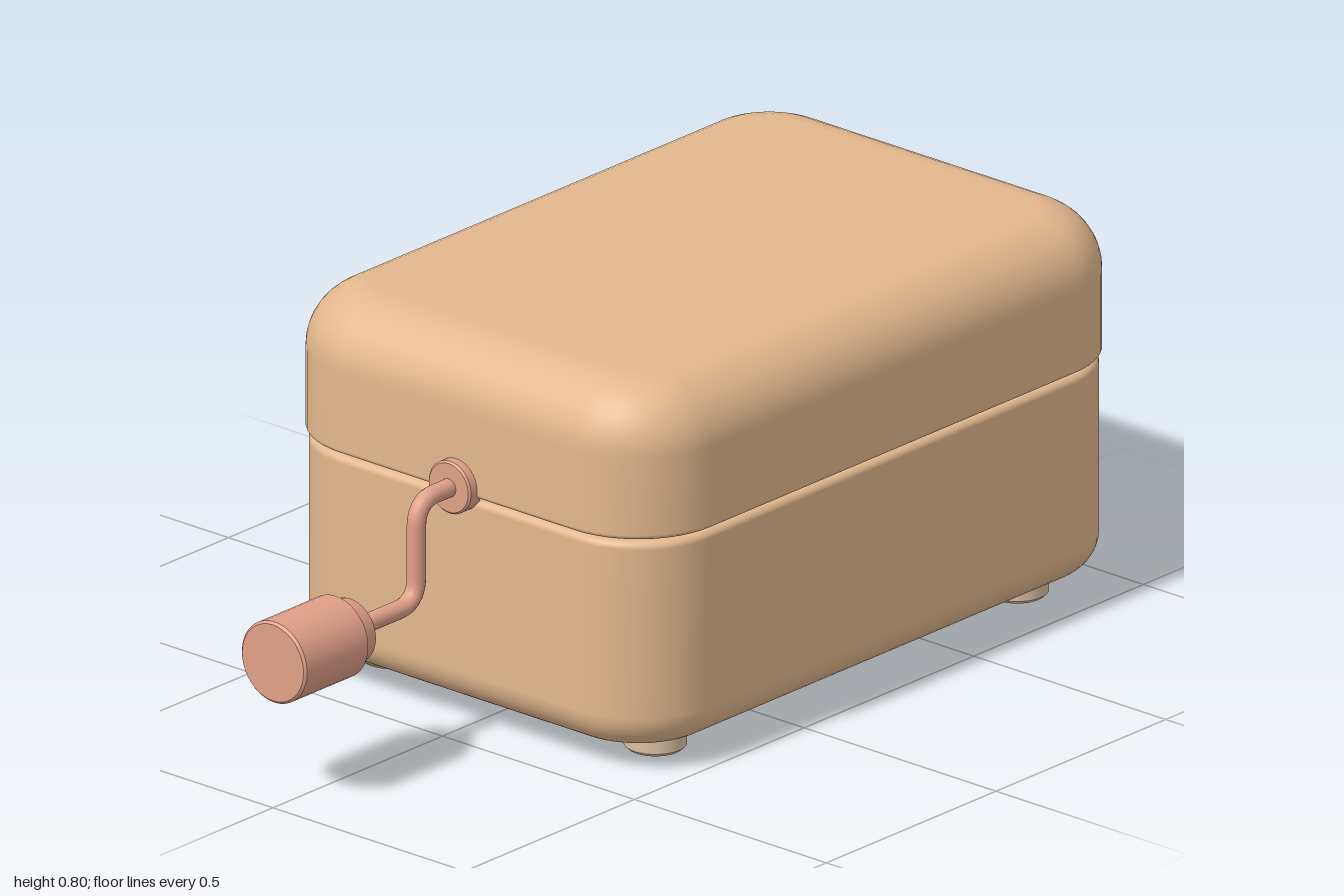
import * as THREE from 'three';

const mat = (name, color) => {
  const m = new THREE.MeshStandardMaterial({ color });
  m.name = name;
  return m;
};

// Solid with rounded-rectangle plan and separately rounded bottom and top edges
function softBox(hx, hz, y0, y1, corner, rBottom, rTop) {
  const profile = []; // [inset, y] from bottom to top
  const steps = 10;
  for (let i = 0; i <= steps; i++) {
    const a = (i / steps) * Math.PI / 2;
    profile.push([rBottom * (1 - Math.sin(a)), y0 + rBottom * (1 - Math.cos(a))]);
  }
  for (let i = 0; i <= steps; i++) {
    const a = (i / steps) * Math.PI / 2;
    profile.push([rTop * (1 - Math.cos(a)), y1 - rTop * (1 - Math.sin(a))]);
  }
  const seg = 12, n = 4 * (seg + 1), pos = [], idx = [];
  const signs = [[1, 1], [-1, 1], [-1, -1], [1, -1]];
  for (const [inset, y] of profile) {
    for (let q = 0; q < 4; q++) {
      for (let k = 0; k <= seg; k++) {
        const a = (q + k / seg) * Math.PI / 2, r = corner - inset;
        pos.push(signs[q][0] * (hx - corner) + r * Math.cos(a), y,
          signs[q][1] * (hz - corner) + r * Math.sin(a));
      }
    }
  }
  const rows = profile.length, bottom = rows * n, top = bottom + 1;
  pos.push(0, y0, 0, 0, y1, 0);
  for (let j = 0; j < n; j++) {
    const k = (j + 1) % n;
    for (let i = 0; i < rows - 1; i++) {
      const a = i * n + j, b = i * n + k;
      idx.push(a, a + n, b, b, a + n, b + n);
    }
    idx.push(bottom, j, k, top, (rows - 1) * n + k, (rows - 1) * n + j);
  }
  const g = new THREE.BufferGeometry();
  g.setAttribute('position', new THREE.Float32BufferAttribute(pos, 3));
  g.setIndex(idx);
  g.computeVertexNormals();
  return g;
}

// Disc with small bevels, from y = 0 up to y = h
function bevelDisc(r0, r1, h, b) {
  const p = [[0, 0], [r0 - b, 0], [r0, b], [r1, h - b], [r1 - b, h], [0, h]];
  const pts = [];
  // doubled points keep the edges crisp
  p.forEach(([x, y], i) => {
    pts.push(new THREE.Vector2(x, y));
    if (i > 0 && i < p.length - 1) pts.push(new THREE.Vector2(x, y));
  });
  return new THREE.LatheGeometry(pts, 40);
}

export function createModel() {
  const model = new THREE.Group();
  model.name = 'crankBox';
  const wood = mat('warm wood', 0xe3b88e);
  const paleWood = mat('pale feet', 0xdcc0a2);
  const copper = mat('rose copper', 0xe0a088);

  const add = (name, geometry, material, parent = model) => {
    const mesh = new THREE.Mesh(geometry, material);
    mesh.name = name;
    parent.add(mesh);
    return mesh;
  };

  // Body and lid, with a narrow gap between them
  const cx = 0.27;
  add('body', softBox(0.722, 0.49, 0.047, 0.492, 0.18, 0.075, 0.015), wood).position.x = cx;
  add('lid', softBox(0.73, 0.497, 0.5, 0.803, 0.19, 0.01, 0.13), wood).position.x = cx;

  // Feet
  for (const sx of [-1, 1]) {
    for (const sz of [-1, 1]) {
      add('foot', bevelDisc(0.062, 0.062, 0.06, 0.007), paleWood)
        .position.set(cx + sx * 0.533, 0, sz * 0.345);
    }
  }

  // Crank on the right side
  const crank = new THREE.Group();
  crank.name = 'crank';
  model.add(crank);
  const alongX = (name, geometry, x, y) => {
    const m = add(name, geometry, copper, crank);
    m.rotation.z = -Math.PI / 2; // local +y points to +x
    m.position.set(x, y, 0);
  };
  const yTop = 0.517, yLow = 0.305, xArm = -0.577, bend = 0.055;
  alongX('crankFlange', bevelDisc(0.055, 0.055, 0.04, 0.004), -0.482, yTop);

  // Bent rod
  const v = (x, y) => new THREE.Vector3(x, y, 0);
  const path = new THREE.CurvePath();
  path.add(new THREE.LineCurve3(v(-0.45, yTop), v(xArm + bend, yTop)));
  path.add(new THREE.QuadraticBezierCurve3(v(xArm + bend, yTop), v(xArm, yTop), v(xArm, yTop - bend)));
  path.add(new THREE.LineCurve3(v(xArm, yTop - bend), v(xArm, yLow + bend)));
  path.add(new THREE.QuadraticBezierCurve3(v(xArm, yLow + bend), v(xArm, yLow), v(xArm - bend, yLow)));
  path.add(new THREE.LineCurve3(v(xArm - bend, yLow), v(-0.8, yLow)));
  add('crankRod', new THREE.TubeGeometry(path, 90, 0.019, 16), copper, crank);

  // Grip and its collar
  alongX('grip', bevelDisc(0.085, 0.085, 0.19, 0.005), -1, yLow);
  alongX('gripCollar', bevelDisc(0.076, 0.066, 0.05, 0.003), -0.818, yLow);

  return model;
}
